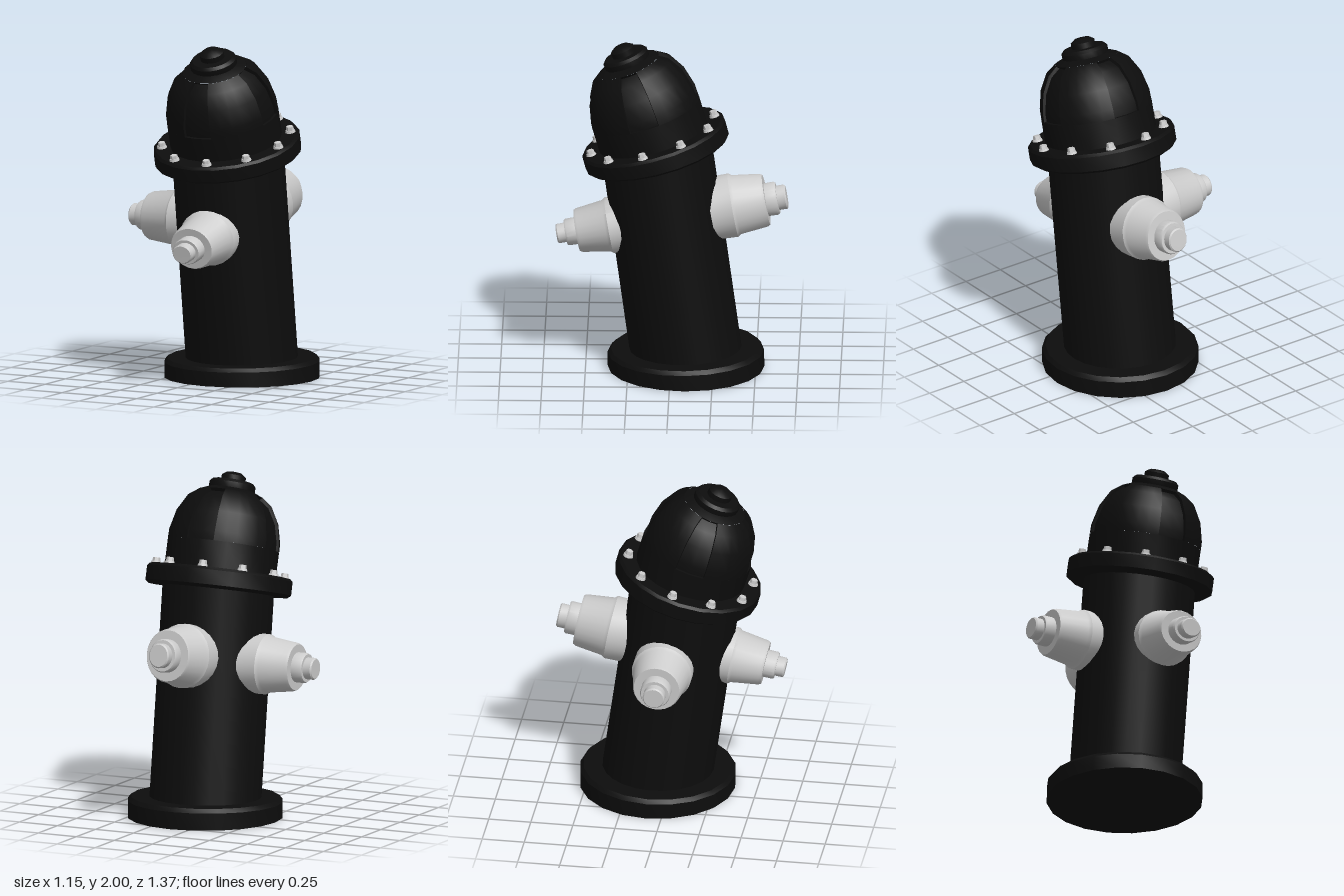
import * as THREE from 'three';
import { toCreasedNormals } from 'three/addons/utils/BufferGeometryUtils.js';

const R = 5.35;              // radius of the forward bend of the whole hydrant
const X0 = 0.11, Z0 = -0.09; // centre of the foot

// Bend an upright geometry forward along a circular arc
function bend(geometry) {
  const p = geometry.attributes.position;
  for (let i = 0; i < p.count; i++) {
    const a = p.getY(i) / R, d = R - p.getZ(i);
    p.setXYZ(i, p.getX(i) + X0, d * Math.sin(a), Z0 + R - d * Math.cos(a));
  }
  return toCreasedNormals(geometry, 0.6);
}

function lathe(points, segments = 20, start = 0, length = Math.PI * 2) {
  return new THREE.LatheGeometry(points.map(([r, y]) => new THREE.Vector2(r, y)), segments, start, length);
}

export function createModel() {
  const model = new THREE.Group();
  const black = new THREE.MeshStandardMaterial({ color: 0x0d0d0d });
  const blackThin = new THREE.MeshStandardMaterial({ color: 0x0d0d0d, side: THREE.DoubleSide });
  const grey = new THREE.MeshStandardMaterial({ color: 0xcccccc });

  function add(name, geometry, material = black, parent = model) {
    const mesh = new THREE.Mesh(bend(geometry), material);
    mesh.name = name;
    parent.add(mesh);
  }
  function group(name) {
    const g = new THREE.Group();
    g.name = name;
    model.add(g);
    return g;
  }

  // Foot plate, barrel and bolted flange
  add('footPlate', lathe([[0, 0], [0.46, 0], [0.46, 0.095], [0.44, 0.118], [0, 0.118]]));
  add('barrel', lathe([[0.33, 0.1], [0.33, 1.36]], 24));
  add('flange', lathe([[0, 1.335], [0.415, 1.335], [0.435, 1.35], [0.435, 1.432], [0.42, 1.447], [0, 1.447]]));
  add('bonnetCollar', lathe([[0.33, 1.44], [0.33, 1.6], [0.28, 1.6]], 24));

  // Bonnet: four ribs with a recessed panel between each pair
  const bonnet = group('bonnet');
  const rim = [[0.33, 1.6], [0.329, 1.655], [0.302, 1.77], [0.25, 1.865], [0.19, 1.91]];
  const recess = rim.map(([r, y], i) => [r - 0.016, y - 0.004 * i]);
  const half = 0.27;
  for (let i = 0; i < 4; i++) {
    const a = i * Math.PI / 2;
    add('bonnetRib', lathe(rim, 5, a + half, Math.PI / 2 - 2 * half), black, bonnet);
    add('bonnetPanel', lathe([...recess, rim[4]], 2, a - half, 2 * half), black, bonnet);
    // walls at both sides of the panel
    const outline = [...rim, ...recess.slice().reverse()].map(([r, y]) => new THREE.Vector2(r, y));
    for (const side of [-half, half]) {
      const wall = new THREE.ShapeGeometry(new THREE.Shape(outline));
      add('panelEdge', wall.rotateY(a + side - Math.PI / 2), blackThin, bonnet);
    }
  }
  add('bonnetCrown', lathe([[0.19, 1.91], [0.12, 1.94], [0, 1.94]]), black, bonnet);

  // Cap ring and operating nut on top
  add('capRing', lathe([[0.13, 1.9], [0.138, 1.915], [0.138, 1.965], [0.122, 1.982], [0, 1.982]]));
  add('topNut', lathe([[0.072, 1.96], [0.072, 2.015], [0.045, 2.034], [0, 2.036]], 16));

  // Ten hexagonal bolts with washers around the flange
  const bolts = group('flangeBolts');
  for (let i = 0; i < 10; i++) {
    const a = THREE.MathUtils.degToRad(26 + 36 * i);
    const x = 0.38 * Math.sin(a), z = -0.38 * Math.cos(a);
    add('washer', new THREE.CylinderGeometry(0.027, 0.031, 0.014, 12).translate(x, 1.453, z), grey, bolts);
    add('boltHead', new THREE.CylinderGeometry(0.021, 0.024, 0.024, 6).translate(x, 1.47, z), grey, bolts);
  }

  // Outlets at the front, the back and the right side
  const outlet = [
    [0.178, 0.24], [0.178, 0.37], [0.165, 0.388], [0.144, 0.55], [0.136, 0.565],
    [0.089, 0.565], [0.089, 0.622], [0.083, 0.632], [0.065, 0.632], [0.065, 0.678], [0.058, 0.686], [0, 0.686],
  ];
  const outlets = [['frontOutlet', 0, 0.01, 0.945], ['backOutlet', Math.PI, 0.01, 0.945], ['rightOutlet', -Math.PI / 2, 0, 0.93]];
  for (const [name, turn, x, y] of outlets) {
    add(name, lathe(outlet, 24).rotateX(Math.PI / 2).rotateY(turn).translate(x, y, 0), grey);
  }

  return model;
}
